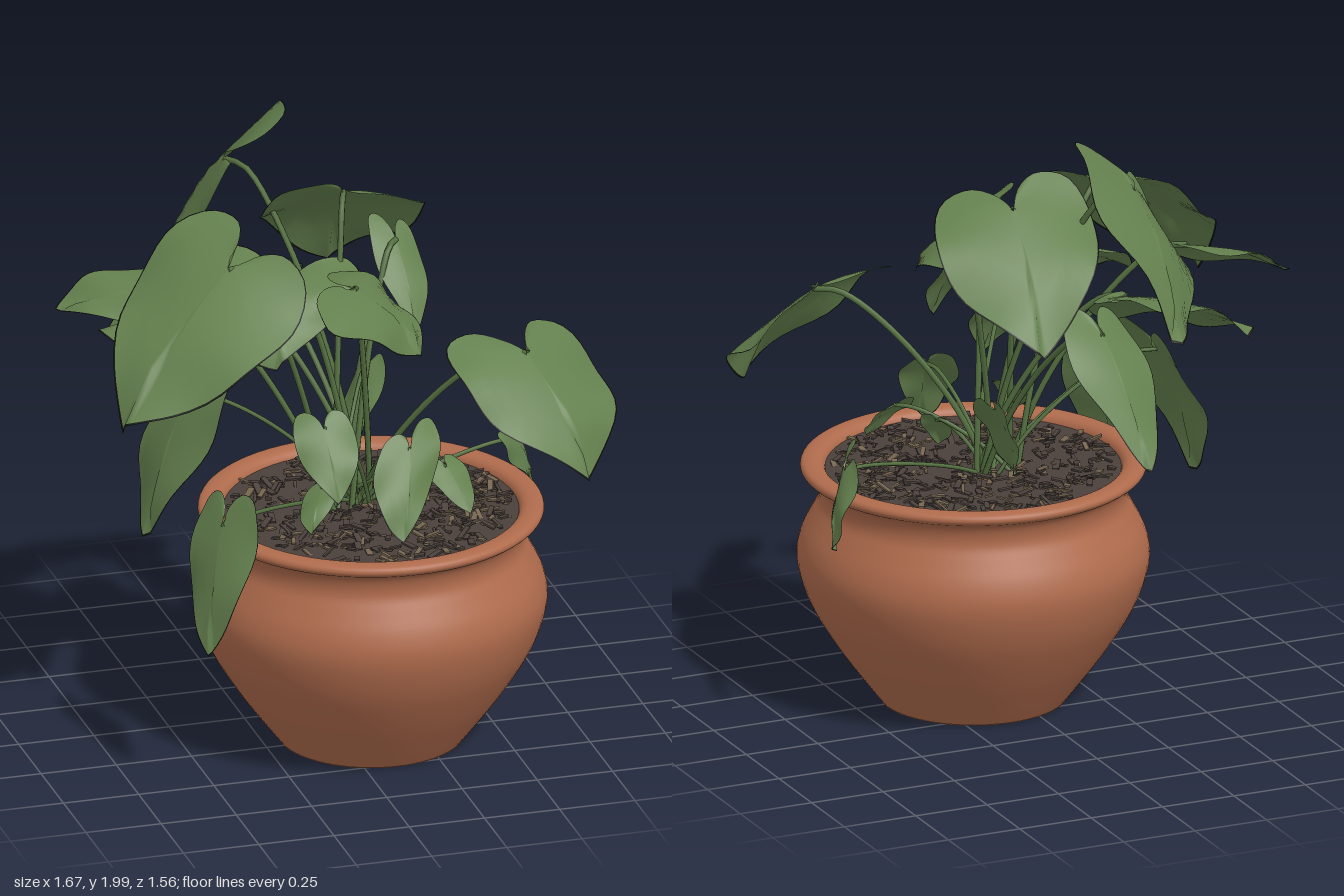
import * as THREE from 'three';
import { mergeGeometries } from 'three/addons/utils/BufferGeometryUtils.js';

const mat = (name, color, side = THREE.FrontSide) => {
  const m = new THREE.MeshStandardMaterial({ color, side });
  m.name = name;
  return m;
};
const V = (x, y, z) => new THREE.Vector3(x, y, z);

// Small seeded random numbers for the soil and stem roots
let seed = 7;
const rand = () => (seed = (seed * 16807) % 2147483647) / 2147483647;

// Heart-shaped half outline: u runs from stem joint to tip, v across
const half = new THREE.CatmullRomCurve3([
  V(0.0, 0.0, 0), V(-0.15, 0.06, 0), V(-0.25, 0.2, 0), V(-0.21, 0.38, 0), V(0.0, 0.49, 0),
  V(0.25, 0.5, 0), V(0.5, 0.42, 0), V(0.76, 0.24, 0), V(0.92, 0.09, 0), V(1, 0, 0),
]).getPoints(28);
const outline = [...half, ...half.slice(0, -1).reverse().map((p) => V(p.x, -p.y, 0))];
const rings = [0, 0.17, 0.34, 0.5, 0.66, 0.82, 0.985, 1];

// Leaf blade from nested outlines, gently arched, with a thin dark margin as second group
function leafGeometry(joint, tip, across, phase) {
  const along = tip.clone().sub(joint);
  const up = across.clone().cross(along).normalize();
  const flip = up.y < 0;
  if (flip) up.negate();
  const size = across.length(), n = outline.length;
  const pos = [], index = [];
  for (const s of rings) {
    for (const o of outline) {
      const u = o.x * s, v = o.y * s;
      const wave = 0.035 * s * s * Math.sin(u * 9 + Math.sign(v) * 1.5 + phase);
      const lift = size * (-0.25 * v * v - 0.06 * Math.abs(v) + 0.25 * u * (1 - u) + wave);
      const p = joint.clone().addScaledVector(along, u).addScaledVector(across, v).addScaledVector(up, lift);
      pos.push(p.x, p.y, p.z);
    }
  }
  for (let r = 0; r < rings.length - 1; r++) {
    for (let i = 0; i < n - 1; i++) {
      const a = r * n + i, b = a + 1, c = a + n, d = c + 1;
      if (flip) index.push(a, c, b, b, c, d);
      else index.push(a, b, c, b, d, c);
    }
  }
  const g = new THREE.BufferGeometry();
  g.setAttribute('position', new THREE.Float32BufferAttribute(pos, 3));
  g.setIndex(index);
  g.computeVertexNormals();
  const margin = (n - 1) * 6;
  g.addGroup(0, index.length - margin, 0);
  g.addGroup(index.length - margin, margin, 1);
  return g;
}

// Leaves as stem joint, tip and full-width vector
const tallLeaves = [
  [[-0.23, 1.82, -0.29], [-0.16, 1.46, -0.77], [0.38, 0.34, -0.16]],
  [[0.55, 1.36, 0.47], [0.68, 1.0, 0.72], [0.51, -0.07, -0.22]],
  [[-0.38, 1.67, 0.25], [-0.8, 1.25, 0.46], [0.25, -0.15, 0.54]],
  [[0.11, 1.74, -0.1], [0.16, 1.36, -0.45], [0.53, -0.04, 0.04]],
  [[-0.27, 1.41, -0.14], [-0.65, 1.27, -0.27], [0.16, 0.2, -0.45]],
  [[0.01, 1.59, 0.34], [0.21, 1.38, 0.44], [-0.24, 0.03, 0.45]],
  [[-0.14, 1.53, 0.1], [-0.23, 1.33, 0.3], [0.5, 0.1, -0.02]],
  [[-0.53, 1.51, -0.03], [-0.83, 1.42, -0.16], [0.1, -0.08, 0.28]],
  [[-0.1, 1.36, -0.33], [-0.12, 1.0, -0.65], [0.28, 0.05, -0.06]],
  [[0.26, 1.59, -0.02], [0.27, 1.33, 0.17], [0.17, -0.07, 0.0]],
];
const lowLeaves = [
  [[-0.45, 1.15, 0.03], [-0.6, 0.7, 0.07], [0.12, 0.09, 0.33]],
  [[-0.48, 0.91, 0.53], [-0.55, 0.5, 0.61], [0.14, 0.04, 0.22]],
  [[0.63, 0.89, 0.06], [0.72, 0.67, -0.06], [0.1, -0.05, -0.25]],
  [[0.17, 1.06, 0.44], [0.1, 0.81, 0.6], [0.24, 0.06, -0.09]],
  [[0.2, 1.1, -0.16], [0.08, 0.82, -0.04], [0.02, 0.08, -0.24]],
  [[-0.14, 1.2, 0.52], [-0.13, 0.99, 0.65], [0.2, 0.0, 0.02]],
  [[-0.12, 0.95, 0.42], [-0.18, 0.84, 0.52], [0.12, 0.06, 0.03]],
  [[0.31, 0.96, 0.38], [0.36, 0.83, 0.48], [0.13, 0.0, -0.05]],
  [[0.2, 0.92, 0.3], [0.16, 0.81, 0.36], [0.1, 0.03, 0.02]],
];

export function createModel() {
  const model = new THREE.Group();
  const terracotta = mat('terracotta', 0xaf6b4c, THREE.DoubleSide);
  const leafGreen = mat('leaf green', 0x64804e, THREE.DoubleSide);
  const leafMargin = mat('leaf margin', 0x12160e, THREE.DoubleSide);
  const stemGreen = mat('stem green', 0x536e3f);
  const soilBrown = mat('soil brown', 0x4a403b);
  const barkBrown = mat('bark brown', 0x74644f);
  const add = (parent, name, geometry, material) => {
    const m = new THREE.Mesh(geometry, material);
    m.name = name;
    parent.add(m);
    return m;
  };

  // Round-bellied pot with a rolled rim
  const pot = new THREE.Group();
  pot.name = 'pot';
  pot.position.set(0.105, 0, 0.22);
  model.add(pot);
  const wall = new THREE.SplineCurve([
    [0.3, 0.005], [0.35, 0.07], [0.43, 0.18], [0.51, 0.31], [0.55, 0.41], [0.563, 0.49],
    [0.548, 0.56], [0.515, 0.625], [0.492, 0.67], [0.49, 0.71], [0.505, 0.745], [0.54, 0.765],
    [0.552, 0.78], [0.545, 0.796], [0.52, 0.802], [0.49, 0.797], [0.472, 0.775], [0.465, 0.72],
  ].map((p) => new THREE.Vector2(...p))).getPoints(70);
  add(pot, 'potWall', new THREE.LatheGeometry(wall, 72), terracotta);
  const base = add(pot, 'potBase', new THREE.CircleGeometry(0.3, 72), terracotta);
  base.rotation.x = Math.PI / 2;
  base.position.y = 0.003;

  // Soil bed with scattered chips
  const soil = add(pot, 'soil', new THREE.CircleGeometry(0.475, 48), soilBrown);
  soil.rotation.x = -Math.PI / 2;
  soil.position.y = 0.775;
  const chips = [[], []];
  for (let i = 0; i < 480; i++) {
    const g = new THREE.BoxGeometry(0.02 + 0.04 * rand(), 0.006, 0.008 + 0.014 * rand());
    g.rotateZ((rand() - 0.5) * 0.9);
    g.rotateY(rand() * Math.PI * 2);
    const a = rand() * Math.PI * 2, r = 0.45 * Math.sqrt(rand());
    g.translate(r * Math.cos(a), 0.776 + 0.014 * rand(), r * Math.sin(a));
    chips[i % 3 ? 0 : 1].push(g);
  }
  add(pot, 'darkChips', mergeGeometries(chips[0]), soilBrown);
  add(pot, 'barkChips', mergeGeometries(chips[1]), barkBrown);

  // Leaves, each on an arching stem from the middle of the pot
  const foliage = new THREE.Group();
  foliage.name = 'foliage';
  model.add(foliage);
  const grow = (list, kind, radius) => list.forEach(([j, t, w], i) => {
    const joint = V(...j);
    add(foliage, kind + 'Leaf', leafGeometry(joint, V(...t), V(...w), i * 1.7), [leafGreen, leafMargin]);
    const root = V(0.06 + (rand() - 0.5) * 0.14, 0.75, 0.16 + (rand() - 0.5) * 0.12);
    const point = (f, h) => root.clone().lerp(joint, f).setY(root.y + (joint.y - root.y) * h);
    const path = new THREE.CatmullRomCurve3([root, point(0.22, 0.4), point(0.55, 0.78), point(0.85, 0.99), joint]);
    add(foliage, kind + 'Stem', new THREE.TubeGeometry(path, 28, radius, 7), stemGreen);
  });
  grow(tallLeaves, 'tall', 0.01);
  grow(lowLeaves, 'low', 0.007);
  return model;
}
